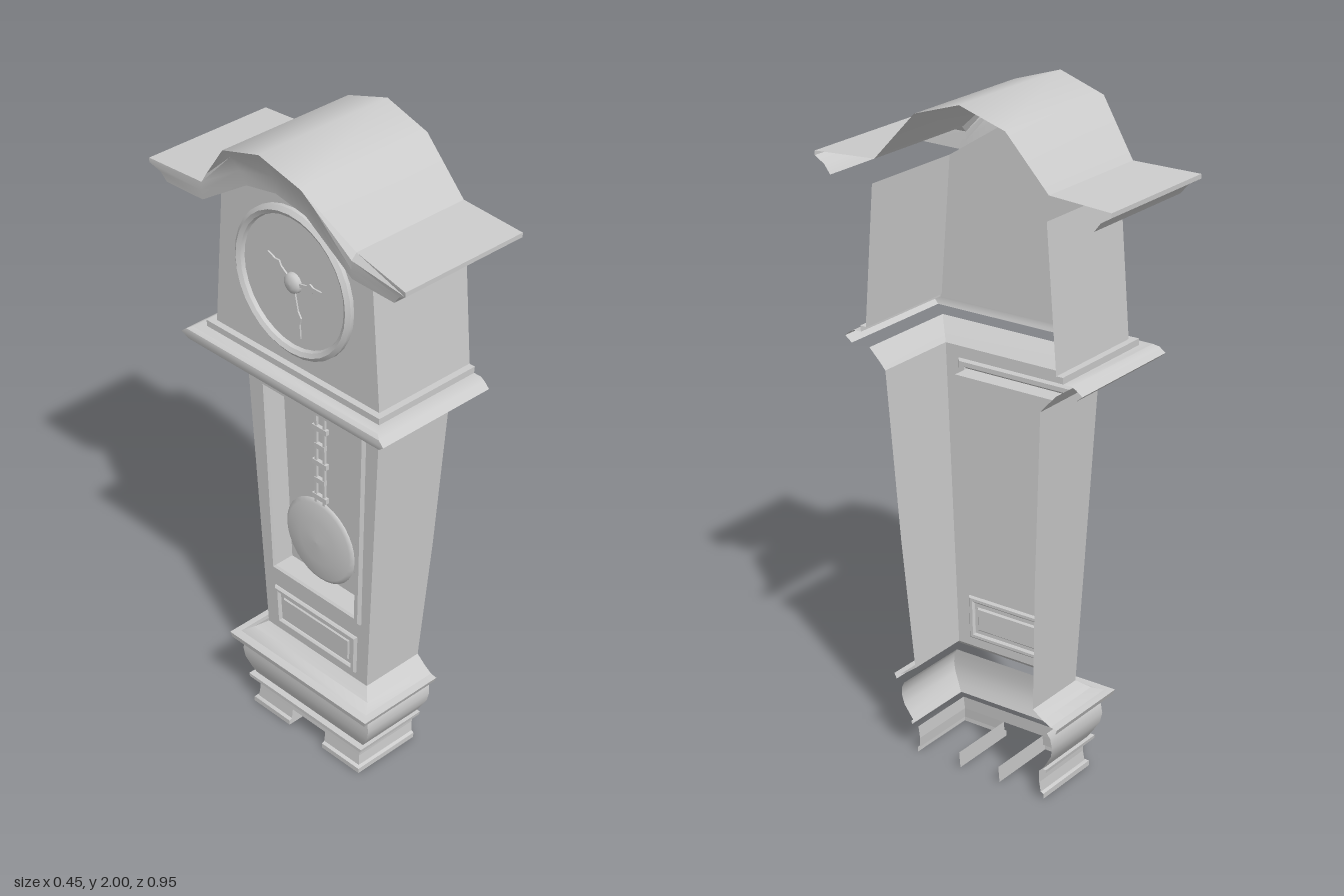
import * as THREE from 'three';
import { toCreasedNormals } from 'three/addons/utils/BufferGeometryUtils.js';

const grey = new THREE.MeshStandardMaterial({ color: 0xcccccc, side: THREE.DoubleSide });

// Straight-line interpolation through [key, value] pairs sorted by key
function lerpTable(table, y) {
  for (let i = 1; i < table.length; i++) {
    const [y0, v0] = table[i - 1], [y1, v1] = table[i];
    if (y <= y1) return v0 + (v1 - v0) * (y - y0) / (y1 - y0);
  }
  return table[table.length - 1][1];
}
// The open back edge leans forward towards the floor
const backX = y => lerpTable([[0, 0.14], [0.24, 0.166], [0.7, 0.195], [1.27, 0.217], [1.34, 0.225]], y);
const trunkX = y => lerpTable([[0.295, -0.04], [1.215, -0.057]], y);

// Skin over rows of points, given top to bottom, each running from +z to -z
function loft(rows, crease = 0.7) {
  const p = [];
  for (let i = 0; i < rows.length - 1; i++)
    for (let j = 0; j < rows[i].length - 1; j++) {
      const a = rows[i][j], b = rows[i][j + 1], c = rows[i + 1][j], d = rows[i + 1][j + 1];
      p.push(...a, ...b, ...c, ...b, ...d, ...c);
    }
  const g = new THREE.BufferGeometry();
  g.setAttribute('position', new THREE.Float32BufferAttribute(p, 3));
  g.computeVertexNormals();
  return toCreasedNormals(g, crease);
}
// Three-sided moulding from a profile of [front x, half width, y]
const surround = profile => loft(profile.map(([x, z, y]) =>
  [[backX(y), y, z], [x, y, z], [x, y, -z], [backX(y), y, -z]]));

const taper = (halfTop, halfBottom, top, bottom, Type = THREE.Shape) => new Type([
  [-halfBottom, bottom], [halfBottom, bottom], [halfTop, top], [-halfTop, top],
].map(q => new THREE.Vector2(...q)));

// Turn a shape drawn in the z/y plane to face -x and lean it with the trunk
function faceFront(geometry, offset) {
  geometry.rotateY(-Math.PI / 2);
  const p = geometry.attributes.position;
  for (let i = 0; i < p.count; i++) p.setX(i, p.getX(i) + offset(p.getY(i)));
  geometry.computeVertexNormals();
  return geometry;
}
const lathe = (pts, seg = 32) => new THREE.LatheGeometry(pts.map(q => new THREE.Vector2(...q)), seg).rotateZ(Math.PI / 2);

const extrude = (shape, depth, bevel = 0) => new THREE.ExtrudeGeometry(shape, {
  depth, bevelEnabled: bevel > 0, bevelThickness: bevel, bevelSize: bevel, bevelOffset: -bevel, bevelSegments: 1,
});

export function createModel() {
  const root = new THREE.Group();
  const add = (name, geometry, parent = root) => {
    const m = new THREE.Mesh(geometry, grey);
    m.name = name;
    parent.add(m);
    return m;
  };

  // Arched roof with its cornice, hollow underneath: stations from the left eave to the crown
  const half = [
    [[-0.195, 1.80, 0.477], [-0.195, 1.787, 0.477], [-0.185, 1.768, 0.445], [-0.18, 1.742, 0.425]],
    [[-0.16, 1.812, 0.28], [-0.177, 1.795, 0.28], [-0.178, 1.77, 0.28], [-0.175, 1.742, 0.28]],
    [[-0.22, 1.955, 0.145], [-0.198, 1.93, 0.14], [-0.18, 1.89, 0.125], [-0.172, 1.85, 0.11]],
    [[-0.228, 2.0, 0], [-0.205, 1.97, 0], [-0.18, 1.92, 0], [-0.172, 1.87, 0]],
  ];
  const flip = station => station.map(([x, y, z]) => [x, y, -z]);
  // The arch sits slightly off centre between the eaves
  const stations = [...half, ...half.slice(0, 3).reverse().map(flip)]
    .map((s, i, all) => i % (all.length - 1) ? s.map(([x, y, z]) => [x, y, z - 0.008]) : s);
  const edge = stations.map(s => s[0]);
  add('roof', loft([edge.map(([, y, z]) => [0.225, y, z]), edge]));
  const end = half[0].map(([, y, z]) => [0.225, y, z]);
  const wrapped = [end, ...stations, flip(end)];
  add('cornice', loft([0, 1, 2, 3].map(k => wrapped.map(s => s[k])), 0.5));

  // Hood walls and arched front
  for (const s of [1, -1])
    add(s > 0 ? 'hoodLeftSide' : 'hoodRightSide', loft([
      [[0.225, 1.742, s * 0.282], [-0.115, 1.742, s * 0.282]],
      [[0.225, 1.33, s * 0.315], [-0.115, 1.33, s * 0.315]]]));
  const arch = new THREE.Shape([[-0.315, 1.33], [0.315, 1.33], [0.282, 1.742], [0.11, 1.85], [0, 1.87], [-0.11, 1.85], [-0.282, 1.742]]
    .map(q => new THREE.Vector2(...q)));
  add('hoodFront', faceFront(new THREE.ShapeGeometry(arch), () => -0.115));

  // Dial with rim, boss and hands
  const dial = new THREE.Group();
  dial.name = 'dial';
  dial.position.set(-0.115, 1.59, 0);
  root.add(dial);
  add('dialFace', lathe([[0.195, 0.003], [0, 0.003]]), dial);
  add('dialRim', toCreasedNormals(lathe([[0.22, 0], [0.22, 0.012], [0.208, 0.021], [0.196, 0.014], [0.192, 0.003]]), 0.6), dial);
  add('dialBoss', lathe([[0.03, 0.003], [0.028, 0.014], [0.015, 0.021], [0, 0.022]], 16), dial);
  for (const [angle, length] of [[1.0, 0.11], [-1.4, 0.11], [-2.95, 0.16]]) {
    const hand = new THREE.Shape([[-0.004, 0], [0.004, 0], [0.006, 0.5], [0.014, 0.62], [0.005, 0.74], [0, 1], [-0.005, 0.74], [-0.014, 0.62], [-0.006, 0.5]]
      .map(([u, v]) => new THREE.Vector2(u, v * length)));
    add('hand', faceFront(extrude(hand, 0.005).rotateZ(angle), () => -0.006), dial);
  }

  // Waist moulding, open below, and trunk flare
  add('waistMoulding', surround([
    [-0.115, 0.315, 1.332], [-0.135, 0.335, 1.332], [-0.135, 0.335, 1.313], [-0.165, 0.36, 1.313],
    [-0.176, 0.375, 1.305], [-0.178, 0.393, 1.29], [-0.172, 0.372, 1.272]]));
  add('trunkFlare', surround([[-0.112, 0.31, 1.272], [-0.075, 0.275, 1.235], [-0.057, 0.258, 1.215]]));

  // Tapering trunk
  for (const s of [1, -1])
    add(s > 0 ? 'trunkLeftSide' : 'trunkRightSide', loft([1.215, 0.7, 0.295].map(y => {
      const z = s * lerpTable([[0.295, 0.207], [1.215, 0.258]], y);
      return [[backX(y), y, z], [trunkX(y), y, z]];
    })));
  const front = taper(0.258, 0.207, 1.215, 0.295);
  front.holes.push(taper(0.18, 0.162, 1.155, 0.535, THREE.Path));
  add('trunkFront', faceFront(new THREE.ShapeGeometry(front), trunkX));

  // Door frame around a recess
  const frame = taper(0.21, 0.186, 1.18, 0.512);
  frame.holes.push(taper(0.18, 0.162, 1.155, 0.535, THREE.Path));
  add('doorFrame', faceFront(extrude(frame, 0.009, 0.006), y => trunkX(y) + 0.004));
  const opening = [[0.18, 1.155], [-0.18, 1.155], [-0.162, 0.535], [0.162, 0.535], [0.18, 1.155]];
  add('recessSides', loft([opening.map(([z, y]) => [trunkX(y), y, z]),
    opening.map(([z, y]) => [trunkX(y) + 0.06, y, z])]));
  add('recessBack', faceFront(new THREE.ShapeGeometry(taper(0.18, 0.162, 1.155, 0.535)), y => trunkX(y) + 0.06));

  // Pendulum: disc, twin rods and crossbars
  const pendulum = new THREE.Group();
  pendulum.name = 'pendulum';
  pendulum.position.x = -0.025;
  root.add(pendulum);
  add('pendulumDisc', lathe([[0, -0.006], [0.125, -0.004], [0.138, 0], [0.125, 0.008], [0.07, 0.015], [0, 0.018]]), pendulum)
    .position.y = 0.7;
  for (const z of [-0.016, 0.016])
    add('pendulumRod', new THREE.BoxGeometry(0.008, 0.33, 0.008), pendulum).position.set(0, 0.99, z);
  for (let i = 0; i < 6; i++)
    add('pendulumCrossbar', new THREE.BoxGeometry(0.012, 0.016, i % 2 ? 0.04 : 0.056), pendulum).position.y = 0.85 + i * 0.058;

  // Lower panel
  const lower = taper(0.17, 0.165, 0.455, 0.322);
  lower.holes.push(taper(0.15, 0.146, 0.437, 0.34, THREE.Path));
  add('lowerPanelFrame', faceFront(extrude(lower, 0.008, 0.005), y => trunkX(y) + 0.003));
  add('lowerPanel', faceFront(extrude(taper(0.138, 0.135, 0.424, 0.352), 0.003, 0.004), y => trunkX(y) + 0.003));

  // Base: flare, ledges open below and bulging plinth
  add('baseFlare', surround([[-0.04, 0.207, 0.295], [-0.07, 0.24, 0.27], [-0.1, 0.265, 0.256]]));
  add('upperLedge', surround([[-0.1, 0.265, 0.256], [-0.125, 0.287, 0.253], [-0.122, 0.28, 0.236]]));
  add('plinth', surround([[-0.088, 0.252, 0.232], [-0.09, 0.262, 0.215], [-0.092, 0.266, 0.185], [-0.09, 0.26, 0.155],
    [-0.082, 0.242, 0.125], [-0.074, 0.228, 0.103]]));
  add('lowerLedge', surround([[-0.074, 0.228, 0.103], [-0.094, 0.24, 0.103], [-0.094, 0.238, 0.092]]));

  // Foot with a notch whose sides run through to the back
  add('footBand', surround([[-0.07, 0.215, 0.092], [-0.074, 0.213, 0.052]]));
  const foot = [[-0.074, 0.213, 0.052], [-0.078, 0.216, 0.02], [-0.088, 0.225, 0.016], [-0.088, 0.225, 0]];
  for (const s of [1, -1]) {
    const rows = foot.map(([x, z, y]) => [[backX(y), y, s * z], [x, y, s * z], [x, y, s * 0.07], [backX(y), y, s * 0.07]]);
    add(s > 0 ? 'leftFoot' : 'rightFoot', loft(s > 0 ? rows : rows.map(r => r.reverse())));
  }
  return root;
}
